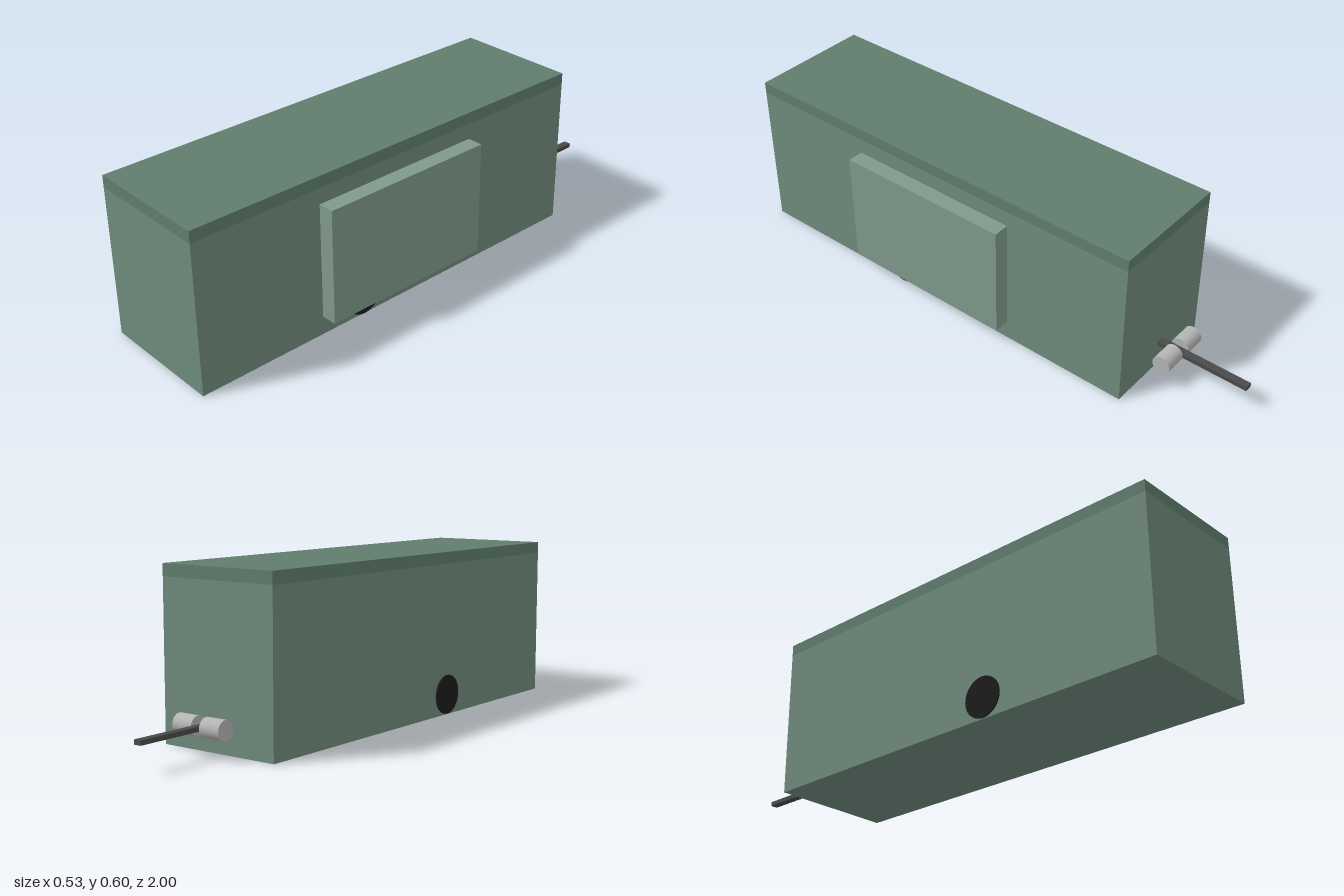
import * as THREE from 'three';

const paint = (color) => new THREE.MeshStandardMaterial({ color });
const bodyPaint = paint(0x6f8a7c), roofPaint = paint(0x607d6d), panelPaint = paint(0x7f998a);
const rubber = paint(0x1c1c1c), steel = paint(0x4a4a4a), bottleMetal = paint(0xb4b4b4);

// Centre line of the trailer (the side panel shifts it off x = 0)
const CX = -0.028;

export function createModel() {
  const group = new THREE.Group();

  const add = (name, geometry, material) => {
    const mesh = new THREE.Mesh(geometry, material);
    mesh.name = name;
    group.add(mesh);
    return mesh;
  };
  // Box given by its minimum and maximum corners
  const box = (name, material, [x0, y0, z0], [x1, y1, z1]) =>
    add(name, new THREE.BoxGeometry(x1 - x0, y1 - y0, z1 - z0), material)
      .position.set((x0 + x1) / 2, (y0 + y1) / 2, (z0 + z1) / 2);
  // Cylinder lying along x
  const roller = (name, material, radius, length, x, y, z) =>
    add(name, new THREE.CylinderGeometry(radius, radius, length, 32).rotateZ(Math.PI / 2), material)
      .position.set(x, y, z);

  // Long box body with a darker roof band
  box('body', bodyPaint, [-0.261, 0, -0.65], [0.205, 0.555, 1]);
  box('roof', roofPaint, [-0.261, 0.555, -0.65], [0.205, 0.598, 1]);

  // Raised panel on the left side
  box('sidePanel', panelPaint, [0.205, 0.07, -0.165], [0.264, 0.497, 0.51]);

  // Wheels barely proud of the side walls
  for (const side of [-1, 1])
    roller(side < 0 ? 'rightWheel' : 'leftWheel', rubber, 0.072, 0.06, CX + side * 0.209, 0.075, 0.33);

  // Drawbar with a gas bottle on either side
  box('drawbar', steel, [CX - 0.014, 0.091, -1], [CX + 0.014, 0.107, -0.65]);
  for (const side of [-1, 1])
    roller(side < 0 ? 'rightBottle' : 'leftBottle', bottleMetal, 0.034, 0.081, CX + side * 0.058, 0.1, -0.72);

  return group;
}
